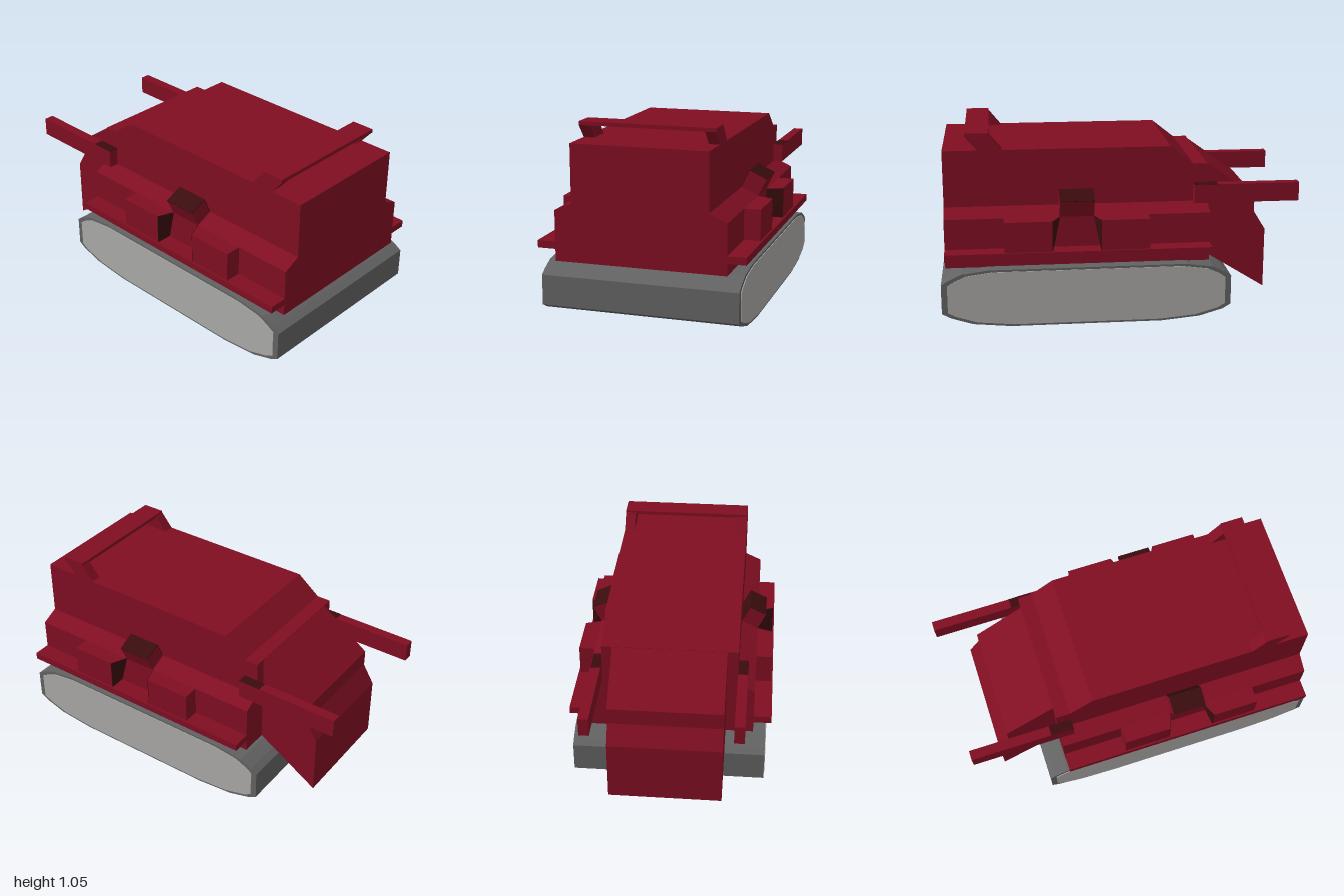
import * as THREE from 'three';
import { ConvexGeometry } from 'three/addons/geometries/ConvexGeometry.js';

const material = (name, color) => Object.assign(new THREE.MeshStandardMaterial({ color }), { name });

export function createModel() {
  const red = material('hull red', 0x800e22);
  const dark = material('dark brown', 0x3a0c0e);
  const belt = material('track grey', 0x626262);
  const plate = material('track side grey', 0xaaa9a7);
  const model = new THREE.Group();
  model.name = 'trackedVehicle';

  const add = (name, geometry, mat) => {
    const mesh = new THREE.Mesh(geometry, mat);
    mesh.name = name;
    model.add(mesh);
    return mesh;
  };
  const extrude = (points, depth) => new THREE.ExtrudeGeometry(
    new THREE.Shape(points.map(([a, b]) => new THREE.Vector2(a, b))), { depth, bevelEnabled: false });
  // side profile [x, y] swept along z
  const sweepZ = (points, z0, z1) => extrude(points, z1 - z0).translate(0, 0, z0);
  // cross-section [z, y] swept along x
  const sweepX = (points, x0, x1) =>
    extrude(points.map(([z, y]) => [-z, y]), x1 - x0).rotateY(Math.PI / 2).translate(x0, 0, 0);
  const box = (x0, x1, y0, y1, z0, z1) => new THREE.BoxGeometry(x1 - x0, y1 - y0, Math.abs(z1 - z0))
    .translate((x0 + x1) / 2, (y0 + y1) / 2, (z0 + z1) / 2);
  const hull = (points) => new ConvexGeometry(points.map((p) => new THREE.Vector3(...p)));

  // track block with rounded ends and pale side plates
  const track = [[-0.605, 0.085], [-0.56, 0.058], [-0.43, 0.02], [-0.22, 0], [0.62, 0], [0.83, 0.02],
    [0.95, 0.058], [1, 0.085], [1, 0.25], [0.96, 0.275], [0.89, 0.308], [0.74, 0.328],
    [-0.35, 0.328], [-0.5, 0.308], [-0.57, 0.275], [-0.605, 0.25]];
  add('trackBelt', sweepZ(track, -0.54, 0.54), belt);
  const inset = track.map(([x, y]) => [0.1975 + (x - 0.1975) * 0.959, 0.164 + (y - 0.164) * 0.93]);
  for (const s of [1, -1]) {
    add('trackSidePlate', sweepZ(inset, s * 0.541 - 0.003, s * 0.541 + 0.003), plate);
  }

  // lower hull with sloped shoulders, upper cabin and nose
  add('lowerHull', sweepX([[-0.47, 0.325], [0.47, 0.325], [0.47, 0.6], [0.375, 0.645],
    [-0.375, 0.645], [-0.47, 0.6]], -0.49, 0.975), red);
  add('cabin', sweepZ([[-0.49, 0.64], [0.975, 0.64], [0.975, 0.96], [-0.28, 0.96],
    [-0.41, 0.857], [-0.49, 0.857]], -0.375, 0.375), red);
  add('nose', sweepZ([[-0.48, 0.33], [-0.84, 0.105], [-0.84, 0.45], [-0.775, 0.555],
    [-0.775, 0.65], [-0.49, 0.855], [-0.48, 0.855]], -0.315, 0.315), red);

  // rear wing
  add('wingBar', box(0.72, 0.85, 1.035, 1.055, -0.375, 0.375), red);

  for (const s of [1, -1]) {
    add('wingPost', sweepZ([[0.65, 0.95], [0.775, 0.95], [0.85, 1.037], [0.72, 1.045], [0.65, 0.96]],
      s * 0.345 - 0.03, s * 0.345 + 0.03), red);

    // forward arms with a dark patch at the root
    add('arm', box(-1, -0.41, 0.645, 0.75, s * 0.375, s * 0.43), red);
    add('armRootPatch', box(-0.54, -0.41, 0.749, 0.752, s * 0.375, s * 0.43), dark);

    // side ledge
    add('sideLedge', box(-0.49, 0.975, 0.39, 0.43, s * 0.465, s * 0.57), red);

    // side lockers, cut at a slant around the central gap
    const end = (outer, inner) => [[outer, 0.43, s * 0.56], [outer, 0.6, s * 0.56],
      [inner, 0.6, s * 0.465], [outer, 0.43, s * 0.465]];
    for (const [far, outer, inner, d] of [[-0.145, 0.12, 0.155, 0.003], [0.65, 0.39, 0.345, -0.003]]) {
      const slant = end(outer, inner);
      add('sideLocker', hull([...end(far, far), ...slant]), red);
      add('lockerEnd', hull([...slant, ...slant.map(([x, y, z]) => [x + d, y, z])]), dark);
    }

    // tilted shoulder box with dark top and inner faces
    const section = (pts) => sweepX(pts.map(([z, y]) => [s * z, y]), 0.155, 0.345);
    add('shoulderBox', section([[0.375, 0.645], [0.47, 0.6], [0.515, 0.695], [0.42, 0.74]]), red);
    add('shoulderBoxTop', section([[0.42, 0.74], [0.515, 0.695], [0.517, 0.699], [0.422, 0.744]]), dark);
    add('shoulderBoxInner', section([[0.375, 0.645], [0.42, 0.74], [0.422, 0.744], [0.416, 0.742],
      [0.372, 0.647]]), dark);
  }
  return model;
}
